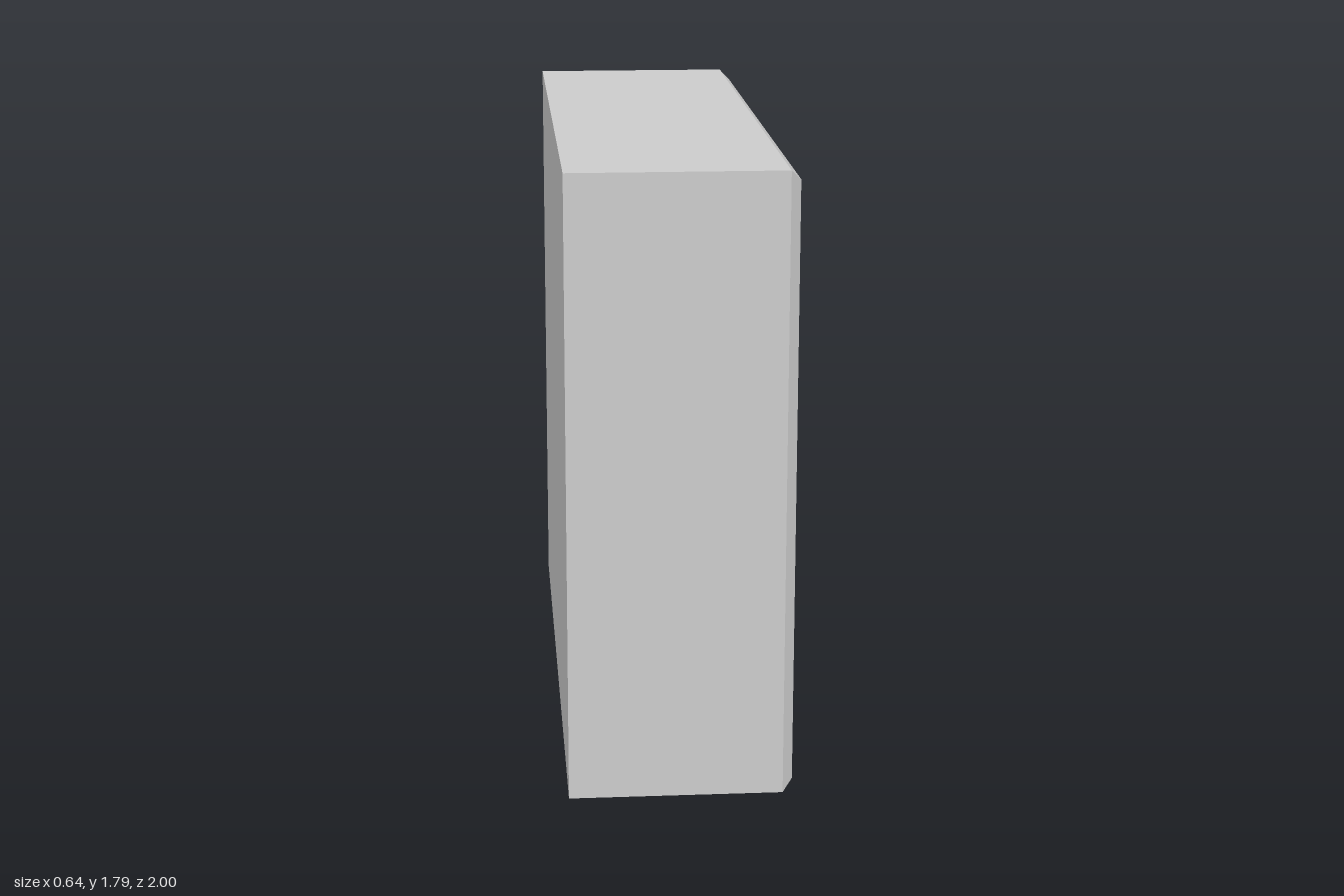
import * as THREE from 'three';

const HEIGHT = 1.795, HALF_Z = 1, HALF_X = 0.32;
const BACK = 0.06, CHAMFER = 0.03;

// Rectangular outline, counter-clockwise
function rect(target, x0, x1, y0, y1) {
  target.moveTo(x0, y0);
  target.lineTo(x1, y0);
  target.lineTo(x1, y1);
  target.lineTo(x0, y1);
  target.closePath();
  return target;
}

export function createModel() {
  const group = new THREE.Group();
  const material = new THREE.MeshStandardMaterial({ color: 0xcccccc, flatShading: true });

  // Carcass: outer block pierced by two columns of four compartments
  const outline = rect(new THREE.Shape(), -HALF_Z, HALF_Z, 0, HEIGHT);
  const columns = [[-0.87, -0.034], [0.032, 0.866]];
  const rows = [[0.124, 0.463], [0.526, 0.867], [0.927, 1.272], [1.328, 1.677]];
  for (const [x0, x1] of columns) {
    for (const [y0, y1] of rows) outline.holes.push(rect(new THREE.Path(), x0, x1, y0, y1));
  }
  const depth = 2 * HALF_X - BACK;
  const geometry = new THREE.ExtrudeGeometry(outline, { depth, steps: 2, bevelEnabled: false });

  // Slide the middle ring forward and pull in the front outer rim to form the chamfer
  const pos = geometry.attributes.position;
  for (let i = 0; i < pos.count; i++) {
    const x = pos.getX(i), y = pos.getY(i), z = pos.getZ(i);
    if (Math.abs(z - depth / 2) < 1e-4) {
      pos.setZ(i, depth - CHAMFER);
    } else if (z > depth - 1e-4 && Math.abs(x) > HALF_Z - 1e-4) {
      pos.setX(i, Math.sign(x) * (HALF_Z - CHAMFER));
      pos.setY(i, y < HEIGHT / 2 ? CHAMFER : HEIGHT - CHAMFER);
    }
  }
  geometry.rotateY(Math.PI / 2);
  geometry.translate(-HALF_X + BACK, 0, 0);
  geometry.computeVertexNormals();
  const carcass = new THREE.Mesh(geometry, material);
  carcass.name = 'shelfCarcass';
  group.add(carcass);

  // Solid panel closing the back of every compartment
  const panel = new THREE.Mesh(new THREE.BoxGeometry(BACK, HEIGHT, 2 * HALF_Z), material);
  panel.name = 'backPanel';
  panel.position.set(-HALF_X + BACK / 2, HEIGHT / 2, 0);
  group.add(panel);

  return group;
}
